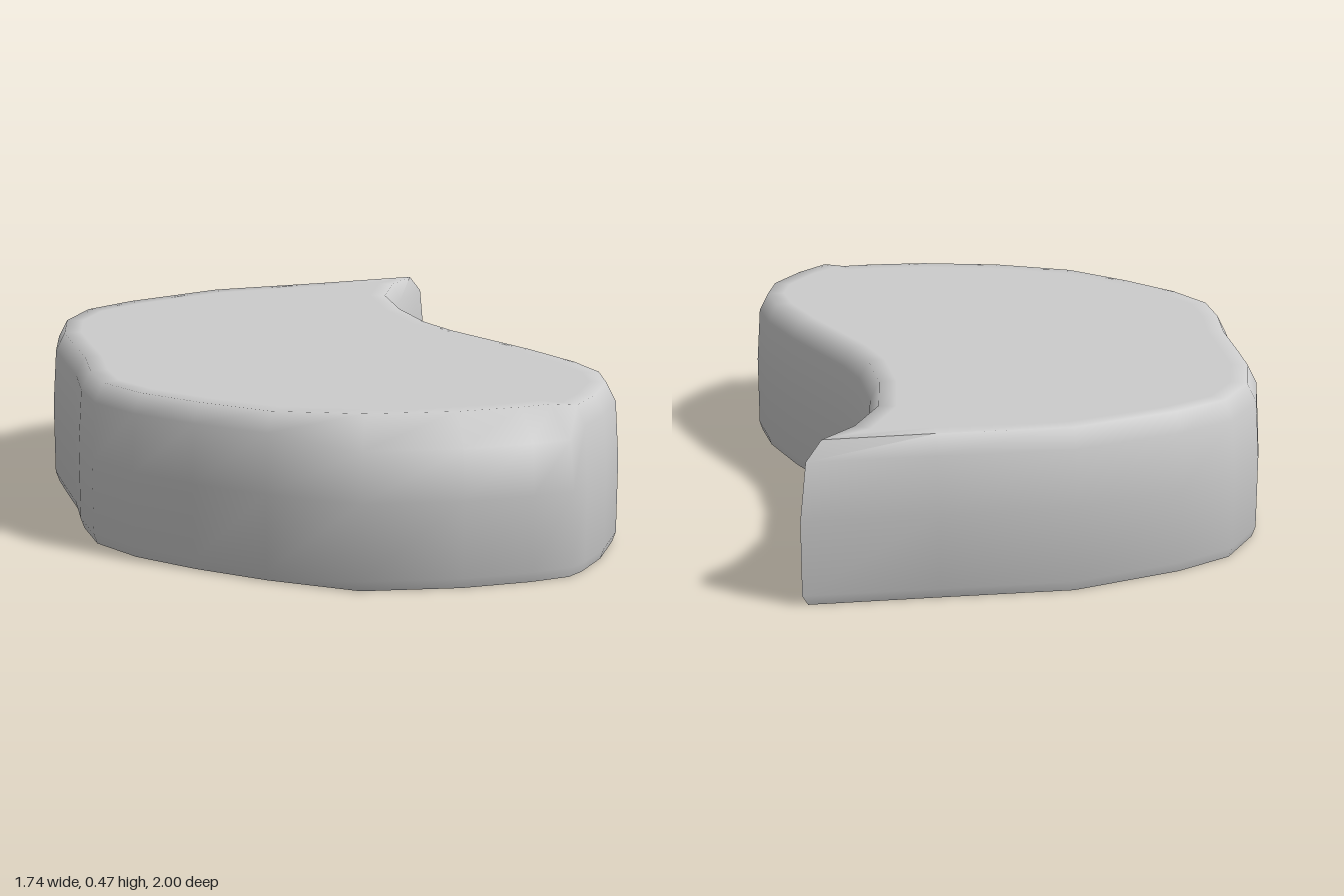
import * as THREE from 'three';
import { toCreasedNormals } from 'three/addons/utils/BufferGeometryUtils.js';

// Outline seen from above as [x, z], starting at the pointed tip
const OUTLINE = [
  [0.30, -1.0], [0.23, -0.81], [0.21, -0.64], [0.26, -0.44], [0.34, -0.26], [0.42, -0.15],
  [0.65, 0.09], [0.78, 0.25], [0.85, 0.38], [0.865, 0.52], [0.82, 0.68], [0.76, 0.80],
  [0.72, 0.85], [0.61, 0.90], [0.42, 0.96], [0.14, 1.0], [-0.12, 0.92], [-0.33, 0.83],
  [-0.51, 0.73], [-0.64, 0.61], [-0.70, 0.46], [-0.74, 0.29], [-0.80, 0.12], [-0.85, -0.03],
  [-0.87, -0.22], [-0.82, -0.40], [-0.69, -0.54], [-0.42, -0.74], [-0.06, -0.87],
].map(([x, z]) => new THREE.Vector2(x, z));

// Cross-section rings from bottom to top; the "front" values give the wider front bevel
const RINGS = [
  { y: 0, inset: 0.01 },
  { y: 0.03, inset: 0 },
  { y: 0.25, inset: 0 },
  { y: 0.42, inset: 0.012, frontY: 0.39, frontInset: 0.02 },
  { y: 0.475, inset: 0.04, frontInset: 0.1 },
  { y: 0.475, inset: 0.09, frontInset: 0.15 },
];

// Inward mitre direction at each outline point
function inwardDirections(points) {
  const n = points.length;
  const edgeNormal = (a, b) => new THREE.Vector2(a.y - b.y, b.x - a.x).normalize();
  return points.map((p, i) => {
    const n1 = edgeNormal(points[(i + n - 1) % n], p);
    const n2 = edgeNormal(p, points[(i + 1) % n]);
    const dir = n1.clone().add(n2).normalize();
    return dir.multiplyScalar(Math.min(1.8, 1 / dir.dot(n1)));
  });
}

function slabGeometry() {
  const n = OUTLINE.length;
  const inward = inwardDirections(OUTLINE);
  const positions = [];
  const index = [];

  for (const { y, inset, frontY = y, frontInset = inset } of RINGS) {
    OUTLINE.forEach((p, i) => {
      const front = p.y > 0.84 && p.x > 0.1;
      const q = p.clone().addScaledVector(inward[i], front ? frontInset : inset);
      positions.push(q.x, front ? frontY : y, q.y);
    });
  }

  // Side walls and bevels
  for (let r = 0; r < RINGS.length - 1; r++) {
    for (let i = 0; i < n; i++) {
      const a = r * n + i, b = r * n + (i + 1) % n;
      index.push(a, a + n, b, b, a + n, b + n);
    }
  }

  // Flat bottom and top
  for (const [ring, up] of [[0, false], [RINGS.length - 1, true]]) {
    const at = (i) => new THREE.Vector2(positions[(ring * n + i) * 3], positions[(ring * n + i) * 3 + 2]);
    const loop = OUTLINE.map((_, i) => at(i));
    for (const [a, b, c] of THREE.ShapeUtils.triangulateShape(loop, [])) {
      const facesUp = loop[b].clone().sub(loop[a]).cross(loop[c].clone().sub(loop[a])) < 0;
      const tri = facesUp === up ? [a, b, c] : [a, c, b];
      index.push(...tri.map((i) => ring * n + i));
    }
  }

  const geometry = new THREE.BufferGeometry();
  geometry.setAttribute('position', new THREE.Float32BufferAttribute(positions, 3));
  geometry.setIndex(index);
  return toCreasedNormals(geometry, 1.15);
}

export function createModel() {
  const group = new THREE.Group();
  group.name = 'curvedSlab';
  const slab = new THREE.Mesh(slabGeometry(), new THREE.MeshStandardMaterial({ color: 0xcccccc }));
  slab.name = 'slabBody';
  group.add(slab);
  return group;
}
